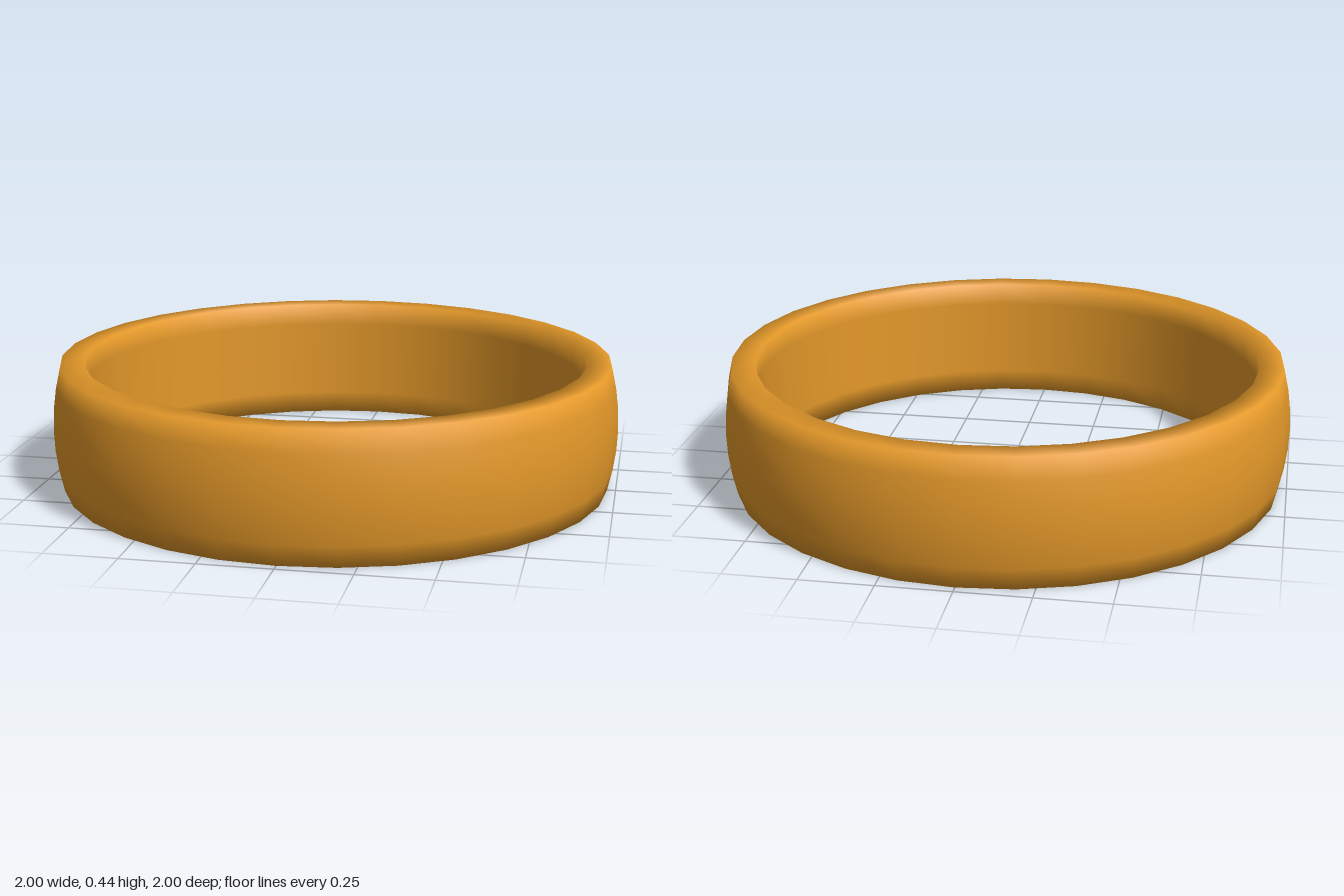
import * as THREE from 'three';

export function createModel() {
  const group = new THREE.Group();
  group.name = 'ring';

  // Closed cross-section (radius, height): domed outside, flat rims, straight bore
  const height = 0.444, outer = 1, rim = 0.97, inner = 0.885;
  const profile = [[inner, height / 2], [inner, 0.08], [inner, 0]];
  const steps = 6;
  for (let i = 0; i <= steps; i++) {
    const t = (i / steps) * 2 - 1;
    profile.push([outer - (outer - rim) * t * t, (height * (t + 1)) / 2]);
  }
  profile.push([inner, height], [inner, height - 0.08], [inner, height / 2]);

  // Revolve around y with smooth normals
  const points = profile.map(([r, y]) => new THREE.Vector2(r, y));
  const band = new THREE.Mesh(
    new THREE.LatheGeometry(points, 32),
    new THREE.MeshStandardMaterial({ color: 0xe39829 })
  );
  band.name = 'band';
  group.add(band);
  return group;
}
